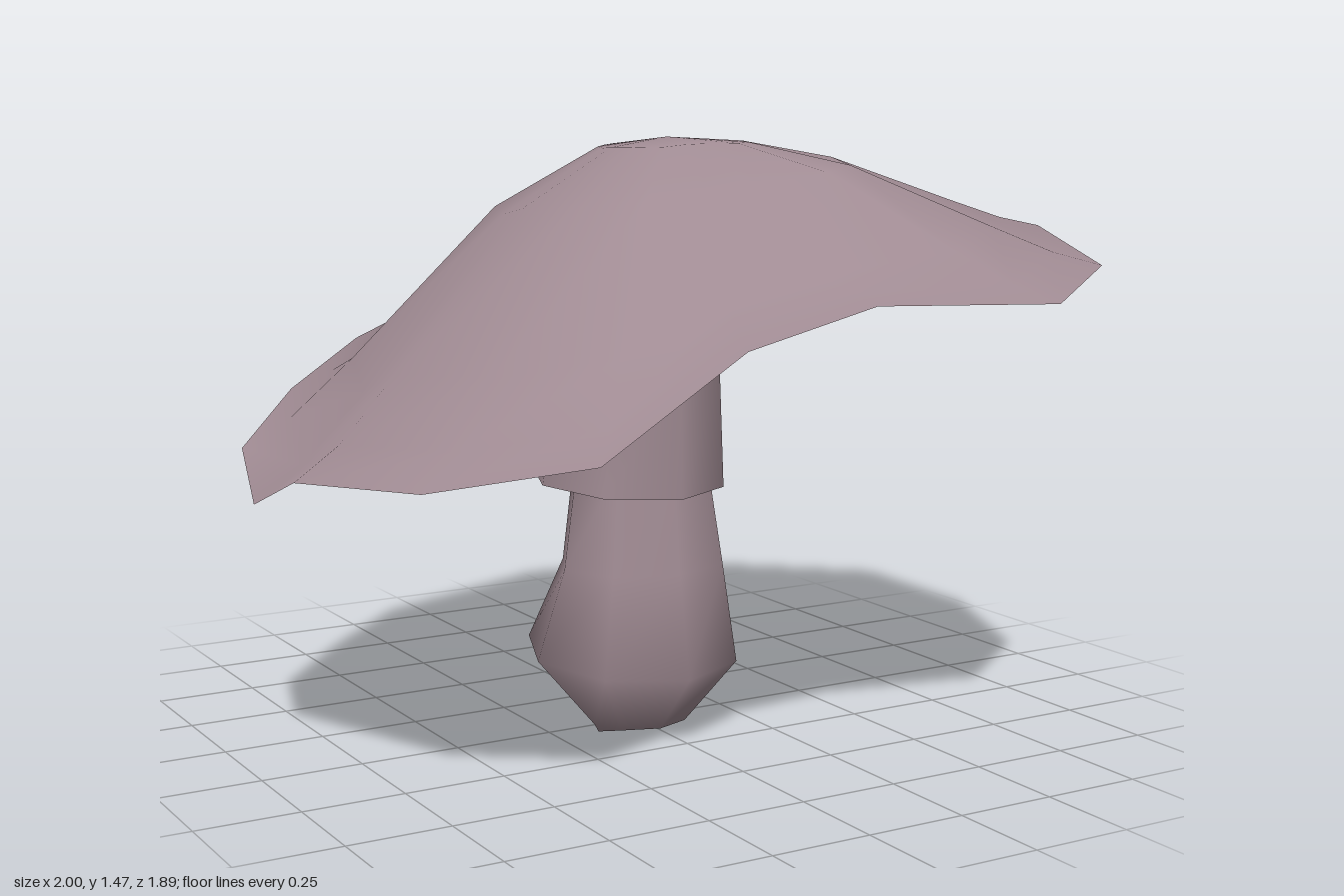
import * as THREE from 'three';

const SIDES = 8;

// Skin a stack of rings (a ring may be a single point) into one smooth surface.
function loft(name, rings, material) {
  const positions = [], starts = [], index = [];
  for (const ring of rings) {
    starts.push(positions.length / 3);
    for (const p of ring) positions.push(...p);
  }
  for (let r = 0; r < rings.length - 1; r++) {
    const A = rings[r], B = rings[r + 1];
    const n = Math.max(A.length, B.length);
    for (let i = 0; i < n; i++) {
      const a = starts[r] + i % A.length, b = starts[r] + (i + 1) % A.length;
      const c = starts[r + 1] + i % B.length, d = starts[r + 1] + (i + 1) % B.length;
      if (a !== b) index.push(a, c, b);
      if (c !== d) index.push(b, c, d);
    }
  }
  const geo = new THREE.BufferGeometry();
  geo.setAttribute('position', new THREE.Float32BufferAttribute(positions, 3));
  geo.setIndex(index);
  geo.computeVertexNormals();
  const mesh = new THREE.Mesh(geo, material);
  mesh.name = name;
  return mesh;
}

// Eight-sided ring fitted to x and z limits; back and front may differ in height.
function stemRing(x0, x1, z0, z1, yBack, yFront = yBack) {
  return Array.from({ length: SIDES }, (_, i) => {
    const a = i / SIDES * Math.PI * 2;
    const s = Math.sin(a), c = Math.cos(a);
    return [
      (x0 + x1) / 2 + s * (x1 - x0) / 2,
      (yBack + yFront) / 2 + c * (yBack - yFront) / 2,
      (z0 + z1) / 2 - c * (z1 - z0) / 2,
    ];
  });
}

// Wavy cap rim, clockwise from the back: x, y, z, depth of the fold there.
const RIM = [
  [0.16, 0.90, -0.95, 0], [0.49, 1.15, -0.72, 0.05], [0.72, 1.23, -0.42, 0.2],
  [1.0, 1.245, -0.14, 0], [1.0, 1.235, 0.32, 0], [0.83, 1.17, 0.75, 0],
  [0.54, 1.11, 0.94, 0], [0.10, 1.12, 0.86, 0.2], [-0.22, 1.04, 0.845, 0.12],
  [-0.58, 0.83, 0.86, 0], [-0.85, 0.755, 0.585, 0], [-0.98, 0.73, 0.2, 0],
  [-1.0, 0.65, 0, 0], [-0.95, 0.745, -0.21, 0.02], [-0.74, 0.845, -0.43, 0.12],
  [-0.46, 0.93, -0.68, 0.04],
];

// Ring at fraction t of the way out to the rim, raised by g towards the peak.
function capRing(t, g, peak, fold = 0) {
  return RIM.map(([x, y, z, f]) => [
    x * t + 0.07 * (1 - t),
    y + (peak - y) * (g - f * fold),
    z * t + 0.06 * (1 - t),
  ]);
}

export function createModel() {
  const group = new THREE.Group();
  const flesh = new THREE.MeshStandardMaterial({ color: 0xa08b93, side: THREE.DoubleSide });
  flesh.name = 'mauve flesh';

  // Cap: domed top and hollow underside meeting at a sharp rim
  group.add(loft('capTop', [
    capRing(1, 0, 1.46),
    capRing(0.89, 0.1, 1.46, 0.2),
    capRing(0.75, 0.3, 1.46, 0.7),
    capRing(0.42, 0.79, 1.46, 0.5),
    capRing(0.18, 0.975, 1.46),
    [[0.05, 1.465, 0.06]],
  ], flesh));
  group.add(loft('capUnderside', [
    [[0, 1.13, 0.06]],
    capRing(0.4, 0.7, 1.12),
    capRing(0.75, 0.33, 1.12, 0.3),
    capRing(1, 0, 1.12),
  ], flesh));

  // Collar: skirt around the upper stem, flaring at the back, with a stepped underside
  const hem = stemRing(-0.275, 0.195, -0.24, 0.285, 0.645, 0.615);
  group.add(loft('collar', [
    hem,
    stemRing(-0.245, 0.175, -0.18, 0.275, 0.9),
    stemRing(-0.24, 0.17, -0.13, 0.295, 1.08, 1.11),
    stemRing(-0.2, 0.14, -0.07, 0.26, 1.16),
  ], flesh));
  group.add(loft('collarUnderside', [
    stemRing(-0.2, 0.13, -0.06, 0.23, 0.67), hem,
  ], flesh));

  // Lower stem: bulb swelling out at the back, with a narrow ridge for a foot
  group.add(loft('stemBulb', [
    stemRing(-0.14, 0.07, 0.05, 0.06, 0),
    stemRing(-0.16, 0.09, -0.035, 0.18, 0.025),
    stemRing(-0.3, 0.225, -0.24, 0.32, 0.215, 0.18),
    stemRing(-0.255, 0.18, -0.085, 0.275, 0.43),
    stemRing(-0.215, 0.14, -0.07, 0.24, 0.68),
  ], flesh));

  return group;
}
